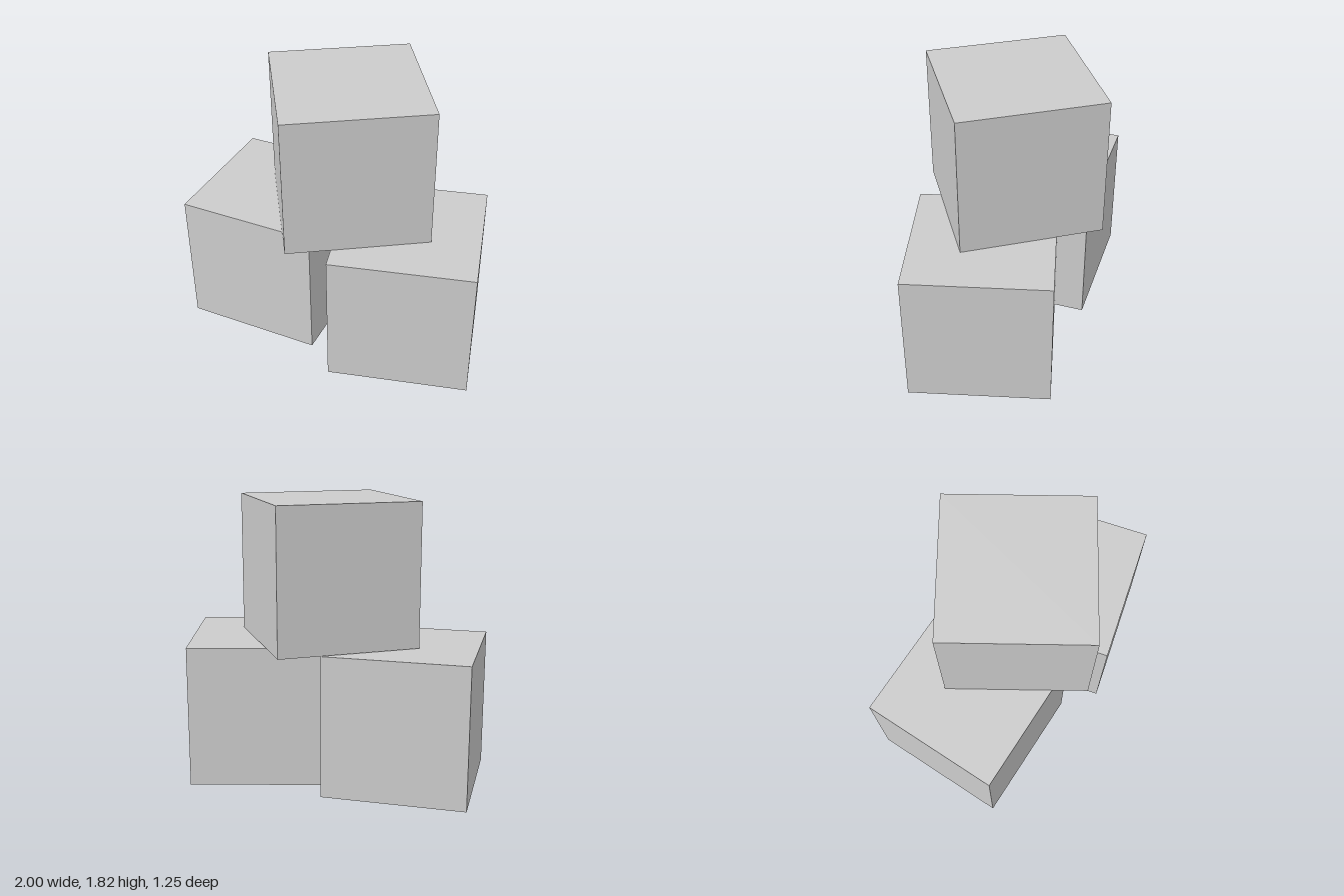
import * as THREE from 'three';

const SIZE = 0.91;

export function createModel() {
  const model = new THREE.Group();
  model.name = 'stackedCubes';

  const grey = new THREE.MeshStandardMaterial({ color: 0xcccccc });
  grey.name = 'light grey';
  const cube = new THREE.BoxGeometry(SIZE, SIZE, SIZE);

  // name, x, bottom height, z, turn about the vertical axis
  const cubes = [
    ['rightCube', -0.545, 0, -0.025, 0],
    ['leftCube', 0.445, 0, 0.055, 0.245],
    ['topCube', -0.011, 0.914, -0.003, 0.559],
  ];
  for (const [name, x, bottom, z, turn] of cubes) {
    const mesh = new THREE.Mesh(cube, grey);
    mesh.name = name;
    mesh.position.set(x, bottom + SIZE / 2, z);
    mesh.rotation.y = turn;
    model.add(mesh);
  }
  return model;
}
